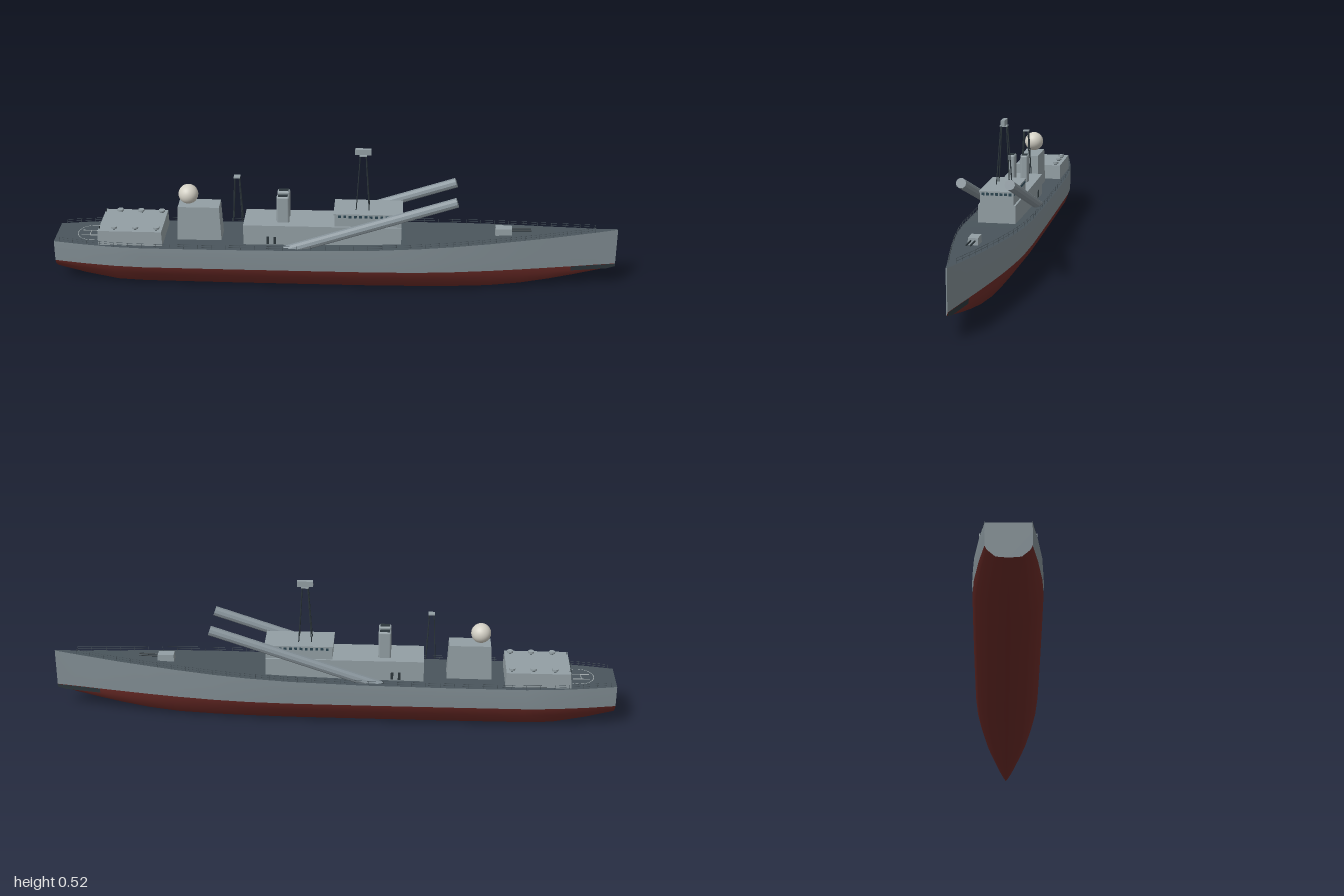
import * as THREE from 'three';
import { RoundedBoxGeometry } from 'three/addons/geometries/RoundedBoxGeometry.js';

const mat = (color, extra = {}) => new THREE.MeshStandardMaterial({ color, ...extra });
const M = {
  hull: mat(0x808c92), deck: mat(0x4a555c), red: mat(0x6e2c28), house: mat(0x939fa4),
  dark: mat(0x2c363b), glass: mat(0x2a4450), dome: mat(0xd2cfc4), line: mat(0xaab2b4),
  tube: mat(0x87939a, { flatShading: true }),
};

// Hull stations: x, half beam, keel height, deck height (bow at +x)
const STATIONS = [
  [-1, 0.07, 0.05, 0.166], [-0.9, 0.088, 0.027, 0.166], [-0.78, 0.104, 0.006, 0.166],
  [-0.68, 0.11, 0.003, 0.166], [-0.4, 0.111, 0.002, 0.167], [-0.1, 0.111, 0.002, 0.17],
  [0.15, 0.11, 0.002, 0.177], [0.3, 0.105, 0.003, 0.184], [0.42, 0.095, 0.003, 0.19],
  [0.55, 0.079, 0.005, 0.197], [0.66, 0.062, 0.014, 0.203], [0.76, 0.045, 0.029, 0.208],
  [0.85, 0.029, 0.046, 0.214], [0.93, 0.014, 0.063, 0.219], [1, 0.002, 0.08, 0.225],
];
const WATER = 0.09;

function station(x) {
  let i = 0;
  while (i < STATIONS.length - 2 && x > STATIONS[i + 1][0]) i++;
  const a = STATIONS[i], b = STATIONS[i + 1];
  const t = (x - a[0]) / (b[0] - a[0]);
  return a.map((v, k) => v + (b[k] - v) * t);
}

// Skin joining cross-sections that follow one another along +x
function loft(sections) {
  const n = sections[0].length, index = [];
  for (let i = 0; i < sections.length - 1; i++)
    for (let j = 0; j < n - 1; j++) {
      const a = i * n + j, b = a + n;
      index.push(a, b, a + 1, b, b + 1, a + 1);
    }
  const g = new THREE.BufferGeometry();
  g.setAttribute('position', new THREE.Float32BufferAttribute(sections.flat(2), 3));
  g.setIndex(index);
  g.computeVertexNormals();
  return g;
}

// Half sections of the bottom and side, from low to high, as [y, z]
const bottomHalf = ([, w, k]) => [
  [k, 0], [k + (WATER - k) * 0.09, w * 0.55], [k + (WATER - k) * 0.64, w * 0.9], [WATER, w]];
const sideHalf = ([, w, , d]) => [[WATER, w], [0.135, w * 1.012], [d, w]];

export function createModel() {
  const ship = new THREE.Group();
  const add = (name, geometry, material, x = 0, y = 0, z = 0, parent = ship) => {
    const m = new THREE.Mesh(geometry, material);
    m.name = name;
    m.position.set(x, y, z);
    parent.add(m);
    return m;
  };
  const group = (name) => {
    const g = new THREE.Group();
    g.name = name;
    ship.add(g);
    return g;
  };
  // Box given by its extents, optionally narrowed at the top
  const box = (name, material, [x0, x1], [y0, y1], [z0, z1], taper = 1, parent = ship) => {
    const g = new THREE.BoxGeometry(x1 - x0, y1 - y0, z1 - z0);
    const p = g.attributes.position;
    for (let i = 0; i < p.count; i++)
      if (p.getY(i) > 0) p.setXYZ(i, p.getX(i) * taper, p.getY(i), p.getZ(i) * taper);
    g.computeVertexNormals();
    return add(name, g, material, (x0 + x1) / 2, (y0 + y1) / 2, (z0 + z1) / 2, parent);
  };
  // Cylinder between two points
  const rod = (name, material, a, b, r, sides = 6, parent = ship) => {
    const p = new THREE.Vector3(...a), q = new THREE.Vector3(...b), d = q.clone().sub(p);
    const m = add(name, new THREE.CylinderGeometry(r, r, d.length(), sides), material, 0, 0, 0, parent);
    m.position.copy(p).add(q).multiplyScalar(0.5);
    m.quaternion.setFromUnitVectors(new THREE.Vector3(0, 1, 0), d.normalize());
    return m;
  };

  // Hull
  const starboard = (s, half) => half(s).map(([y, z]) => [s[0], y, -z]).reverse();
  const port = (s, half) => half(s).map(([y, z]) => [s[0], y, z]);
  add('lowerHull', loft(STATIONS.map((s) => [...starboard(s, bottomHalf), ...port(s, bottomHalf).slice(1)])), M.red);
  add('portSide', loft(STATIONS.map((s) => port(s, sideHalf))), M.hull);
  add('starboardSide', loft(STATIONS.map((s) => starboard(s, sideHalf))), M.hull);
  add('deck', loft(STATIONS.map(([x, w, , d]) => [[x, d, w], [x, d, -w]])), M.deck);
  // Flat ends, drawn as shapes across the ship
  const endCap = (s) => {
    const half = [...bottomHalf(s), ...sideHalf(s).slice(1)];
    const pts = [...half, ...half.slice(1).reverse().map(([y, z]) => [y, -z])];
    return new THREE.ShapeGeometry(new THREE.Shape(pts.map(([y, z]) => new THREE.Vector2(z, y))));
  };
  add('transom', endCap(STATIONS[0]), M.hull, -1).rotation.y = -Math.PI / 2;
  add('stem', endCap(STATIONS[STATIONS.length - 1]), M.hull, 1).rotation.y = Math.PI / 2;
  // Dark strips below the waterline at the bow
  const strip = ([x, w, k]) => [[Math.max(k, 0.073), w * 0.93 + 0.002], [WATER, w + 0.002]];
  const bow = [0.84, 0.88, 0.93, 0.97, 1].map(station);
  add('portBowStrip', loft(bow.map((s) => port(s, strip))), M.dark);
  add('starboardBowStrip', loft(bow.map((s) => starboard(s, strip))), M.dark);

  // Deck railings
  const rails = group('railings');
  for (const side of [-1, 1]) {
    const at = (x, h) => {
      const [, w, , d] = station(x);
      return [x, d + h, side * Math.max(w - 0.004, 0.001)];
    };
    const step = 0.05;
    for (let i = 0; i < 39; i++) {
      const x = -0.98 + i * step;
      rod('railPost', M.deck, at(x, 0), at(x, 0.016), 0.0008, 4, rails);
      if (i < 38) for (const h of [0.008, 0.016])
        rod('rail', M.deck, at(x, h), at(x + step, h), 0.0006, 4, rails);
    }
  }

  // Landing circle at the stern
  const pad = group('landingPad');
  const ring = add('padRing', new THREE.RingGeometry(0.056, 0.058, 40), M.line, -0.868, 0.168, 0, pad);
  ring.rotation.x = -Math.PI / 2;
  for (const z of [-0.018, 0.018])
    box('padMark', M.line, [-0.91, -0.85], [0.166, 0.168], [z - 0.001, z + 0.001], 1, pad);
  box('padCrossMark', M.line, [-0.881, -0.879], [0.166, 0.168], [-0.018, 0.018], 1, pad);

  // Aft hangar with roof vents
  box('hangar', M.house, [-0.838, -0.608], [0.16, 0.22], [-0.09, 0.09], 0.98);
  box('hangarDoor', M.dark, [-0.841, -0.83], [0.167, 0.208], [-0.06, 0.06]);
  for (const z of [-0.068, 0.068]) {
    for (const x of [-0.78, -0.705, -0.63]) {
      rod('ventStem', M.dark, [x, 0.218, z], [x, 0.225, z], 0.006, 10);
      rod('ventCap', M.house, [x, 0.224, z], [x, 0.231, z], 0.011, 14);
    }
    rod('hangarPole', M.dark, [-0.832, 0.17, z], [-0.832, 0.23, z], 0.0015);
  }

  // Radar tower and dome
  box('radarTower', M.house, [-0.562, -0.403], [0.16, 0.294], [-0.037, 0.037], 0.92);
  add('radarDome', new THREE.SphereGeometry(0.035, 28, 20), M.dome, -0.52, 0.331, 0);

  // Deckhouse, bridge and windows
  box('deckhouse', M.house, [-0.322, 0.236], [0.16, 0.243], [-0.065, 0.065]);
  box('bridge', M.house, [0, 0.236], [0.242, 0.288], [-0.058, 0.058]);
  box('bridgeRoof', M.house, [-0.003, 0.24], [0.287, 0.292], [-0.06, 0.06]);
  for (let i = -3; i <= 3; i++)
    box('frontWindow', M.glass, [0.23, 0.2375], [0.277, 0.286], [i * 0.0155 - 0.005, i * 0.0155 + 0.005]);
  for (const side of [-1, 1]) {
    const face = [side * 0.058 - 0.0015, side * 0.058 + 0.0015];
    for (let i = 0; i < 12; i++)
      box('sideWindow', M.glass, [0.013 + i * 0.0185, 0.023 + i * 0.0185], [0.277, 0.286], face);
    for (const x of [-0.24, -0.215])
      box('deckhouseDoor', M.dark, [x, x + 0.009], [0.172, 0.2], [side * 0.065 - 0.001, side * 0.065 + 0.001]);
  }

  // Twin funnels
  for (const side of [-1, 1]) {
    add('funnel', new RoundedBoxGeometry(0.045, 0.11, 0.027, 3, 0.007), M.house, -0.183, 0.287, side * 0.0235);
    box('funnelOpening', M.dark, [-0.2, -0.166], [0.338, 0.343], [side * 0.0235 - 0.009, side * 0.0235 + 0.009]);
  }

  // Four-legged masts
  const mast = (name, x, y0, y1, bottom, top) => {
    const g = group(name);
    for (const sx of [-1, 1]) for (const sz of [-1, 1])
      rod('mastLeg', M.dark, [x + sx * bottom, y0, sz * bottom], [x + sx * top, y1, sz * top], 0.002, 6, g);
    box('mastPlatform', M.house, [x - top - 0.003, x + top + 0.003], [y1 - 0.002, y1 + 0.002], [-top - 0.003, top + 0.003], 1, g);
    return g;
  };
  const foremast = mast('foremast', 0.098, 0.29, 0.495, 0.023, 0.01);
  box('mastHead', M.house, [0.07, 0.126], [0.497, 0.517], [-0.007, 0.007], 1, foremast);
  mast('aftMast', -0.345, 0.235, 0.402, 0.016, 0.008);

  // Long inclined launch tubes along both sides
  for (const side of [-1, 1])
    rod('launchTube', M.tube, [-0.18, 0.152, side * 0.081], [0.428, 0.357, side * 0.081], 0.0175, 10);

  // Forward gun turret
  box('gunTurret', M.house, [0.568, 0.628], [0.19, 0.224], [-0.017, 0.017], 0.95);
  for (const z of [-0.007, 0.007])
    rod('gunBarrel', M.dark, [0.62, 0.215, z], [0.695, 0.217, z], 0.0025, 8);

  return ship;
}
